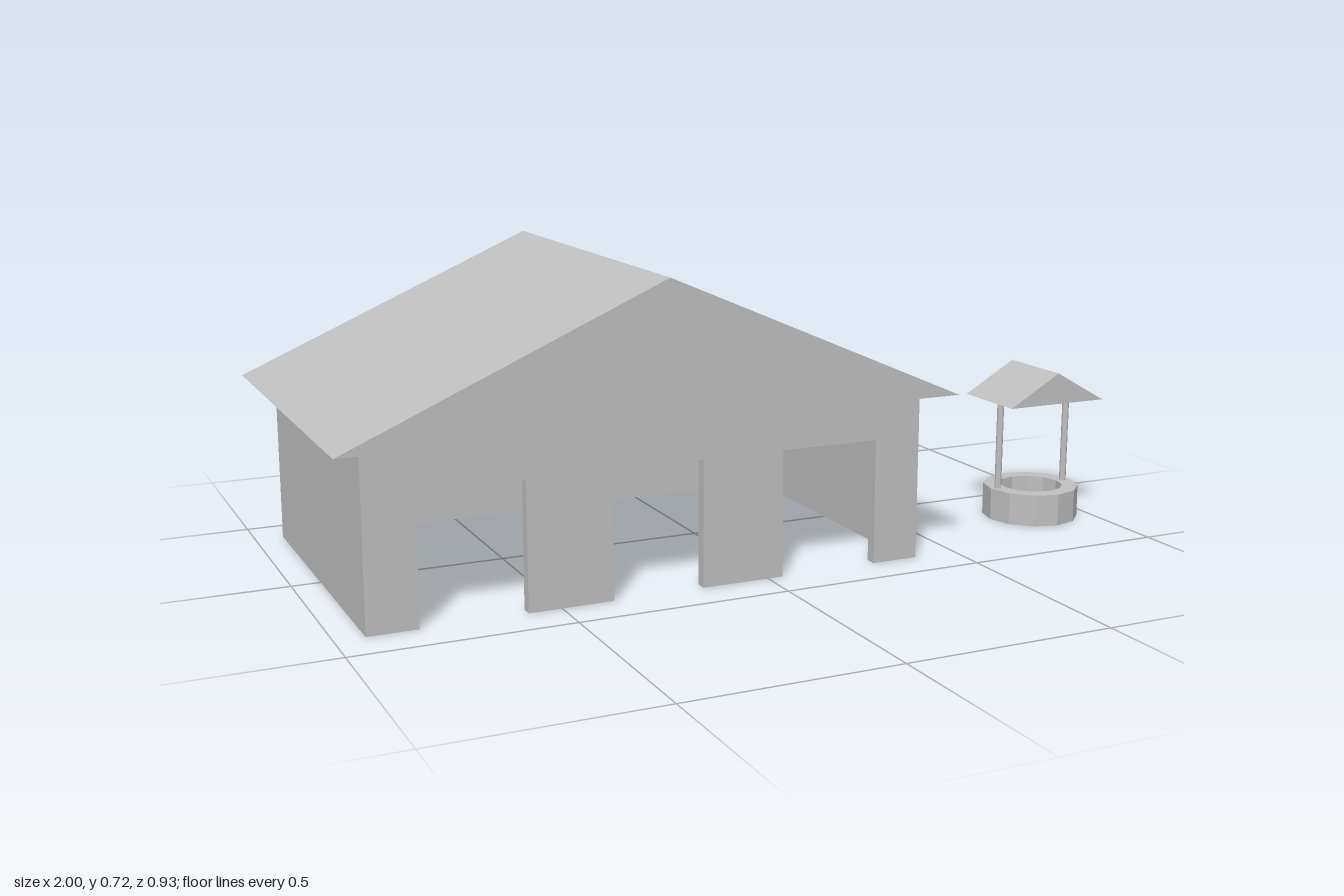
import * as THREE from 'three';

const plaster = new THREE.MeshStandardMaterial({ color: 0xc0c0c0 });
plaster.name = 'light grey';

// Faceted mesh with hard edges
function part(name, geometry, x = 0, y = 0, z = 0) {
  const geo = geometry.index ? geometry.toNonIndexed() : geometry;
  geo.computeVertexNormals();
  const mesh = new THREE.Mesh(geo, plaster);
  mesh.name = name;
  mesh.position.set(x, y, z);
  return mesh;
}

// Solid outline in x/y, extruded along z and centred on z = 0
function slab(points, depth) {
  const shape = new THREE.Shape(points.map(([x, y]) => new THREE.Vector2(x, y)));
  return new THREE.ExtrudeGeometry(shape, { depth, bevelEnabled: false }).translate(0, 0, -depth / 2);
}

const gable = (half, height, depth) => slab([[-half, 0], [half, 0], [0, height]], depth);

const ring = (profile, sides) =>
  new THREE.LatheGeometry(profile.map(([r, y]) => new THREE.Vector2(r, y)), sides);

function createBuilding() {
  const g = new THREE.Group();
  g.name = 'building';
  const W = 0.663, D = 0.4, H = 0.4, T = 0.027, doorTop = 0.297;

  // Front wall with three open doorways
  const outline = [[-W, H], [-W, 0]];
  for (const [a, b] of [[-0.548, -0.307], [-0.108, 0.108], [0.307, 0.548]]) {
    outline.push([a, 0], [a, doorTop], [b, doorTop], [b, 0]);
  }
  outline.push([W, 0], [W, H]);
  g.add(part('frontWall', slab(outline, T), 0, 0, D - T / 2));

  // Plain walls
  g.add(part('backWall', new THREE.BoxGeometry(2 * W, H, T), 0, H / 2, -D + T / 2));
  for (const [name, s] of [['leftWall', 1], ['rightWall', -1]]) {
    g.add(part(name, new THREE.BoxGeometry(T, H, 2 * (D - T)), s * (W - T / 2), H / 2, 0));
  }

  // Overhanging gable roof
  g.add(part('roof', gable(0.73, 0.317, 0.928), 0, H, 0));

  // Hanging lamps
  for (const x of [-0.4, 0, 0.4]) {
    const lamp = new THREE.Group();
    lamp.name = 'lamp';
    lamp.position.set(x, 0.258, 0);
    const shade = [[0.053, 0], [0.01, 0.046], [0.004, 0.046], [0.047, 0], [0.053, 0]];
    lamp.add(part('lampShade', ring(shade, 12)));
    lamp.add(part('bulb', new THREE.SphereGeometry(0.018, 10, 8), 0, 0.019, 0));
    lamp.add(part('lampCord', new THREE.CylinderGeometry(0.005, 0.005, 0.1, 8), 0, 0.092, 0));
    g.add(lamp);
  }
  return g;
}

function createWell() {
  const g = new THREE.Group();
  g.name = 'well';

  // Stone ring, open through the middle
  const R = 0.12, r = 0.08, h = 0.08;
  g.add(part('wellRing', ring([[R, 0], [R, h], [r, h], [r, 0], [R, 0]], 12)));

  // Posts and small gable roof
  for (const x of [-0.1, 0.1]) {
    g.add(part('wellPost', new THREE.CylinderGeometry(0.0085, 0.0085, 0.23, 12), x, 0.195, 0));
  }
  g.add(part('wellRoof', gable(0.137, 0.078, 0.2), 0, 0.309, 0));
  return g;
}

export function createModel() {
  const model = new THREE.Group();
  model.name = 'buildingWithWell';
  const building = createBuilding();
  building.position.x = -0.27;
  const well = createWell();
  well.position.set(0.86, 0, 0.2);
  model.add(building, well);
  return model;
}
